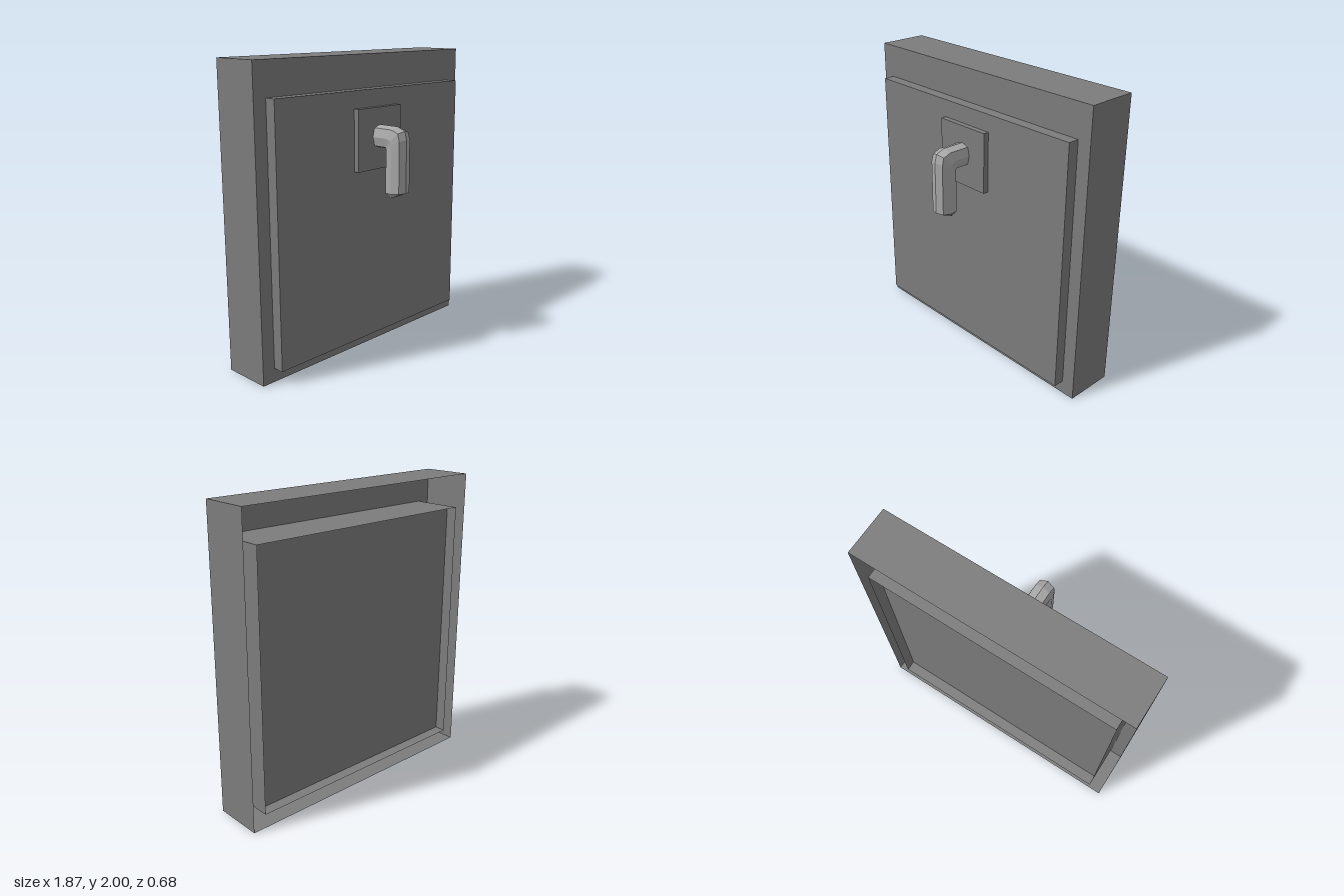
import * as THREE from 'three';

const makeMaterial = (color) => new THREE.MeshStandardMaterial({
  color, flatShading: true, side: THREE.DoubleSide,
});
const darkGrey = makeMaterial(0x7c7c7c);
const lightGrey = makeMaterial(0xa8a8a8);

// Skin a list of equal-length point loops; optionally close the last loop.
function loft(name, material, loops, capEnd = false) {
  const pts = [];
  const tri = (...corners) => corners.forEach((p) => pts.push(p.x, p.y, p.z));
  for (let s = 0; s < loops.length - 1; s++) {
    const a = loops[s], b = loops[s + 1], n = a.length;
    for (let i = 0; i < n; i++) {
      const j = (i + 1) % n;
      tri(a[i], a[j], b[j]);
      tri(a[i], b[j], b[i]);
    }
  }
  if (capEnd) {
    const e = loops[loops.length - 1];
    for (let i = 1; i < e.length - 1; i++) tri(e[0], e[i], e[i + 1]);
  }
  const geo = new THREE.BufferGeometry();
  geo.setAttribute('position', new THREE.Float32BufferAttribute(pts, 3));
  geo.computeVertexNormals();
  const mesh = new THREE.Mesh(geo, material);
  mesh.name = name;
  return mesh;
}

// Rectangular loops of the frame and of the raised panel at depth z
const rect = (w, y0, y1, z) => [[-w, y0], [w, y0], [w, y1], [-w, y1]]
  .map(([x, y]) => new THREE.Vector3(x, y, z));
const outer = (z) => rect(0.935, 0, 2, z);
const inset = (z) => rect(0.845, 0.092, 1.781, z);

// Octagonal loop between an outer and an inner point in the z-y plane
function octagon([oz, oy, iz, iy, rx]) {
  const cz = (oz + iz) / 2, cy = (oy + iy) / 2;
  return Array.from({ length: 8 }, (_, i) => {
    const angle = (i * Math.PI) / 4;
    const k = i % 2 ? 1.1 : 1; // slightly squared corners
    const c = Math.cos(angle) * k;
    return new THREE.Vector3(-rx * Math.sin(angle) * k, cy + (oy - cy) * c, cz + (oz - cz) * c);
  });
}

export function createModel() {
  const model = new THREE.Group();
  const back = -0.335, front = 0.075;

  // Thin frame: side walls and front border, open at the back
  model.add(loft('frame', darkGrey, [outer(back), outer(0), inset(0)]));

  // Panel raised at the front, with a shallow recess at the back
  model.add(loft('panel', darkGrey, [inset(back), inset(front)], true));
  model.add(loft('backRecess', darkGrey, [inset(back), inset(back + 0.075)], true));

  // Square mounting plate
  const plate = new THREE.Mesh(new THREE.BoxGeometry(0.4, 0.404, 0.037), darkGrey);
  plate.position.set(0, 1.464, 0.0935);
  plate.name = 'mountingPlate';
  model.add(plate);

  // Bent handle: forward, round the elbow, down to a blunt tip
  const sections = [
    [0.11, 1.553, 0.11, 1.402, 0.066],
    [0.265, 1.553, 0.195, 1.402, 0.066],
    [0.325, 1.53, 0.195, 1.402, 0.066],
    [0.34, 1.475, 0.195, 1.402, 0.066],
    [0.34, 1.128, 0.195, 1.118, 0.066],
    [0.265, 1.096, 0.226, 1.082, 0.036],
  ];
  model.add(loft('handle', lightGrey, sections.map(octagon), true));

  return model;
}
